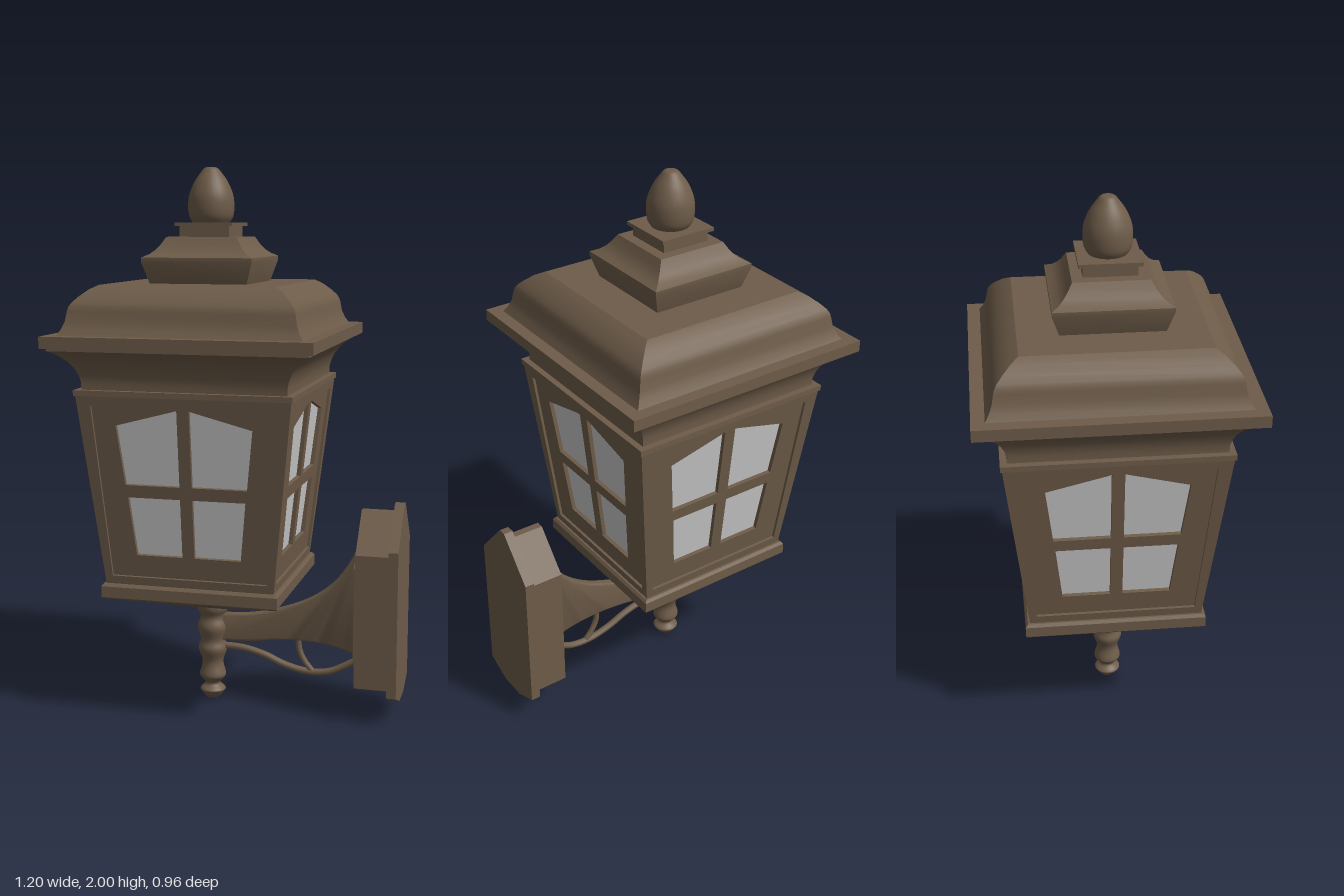
import * as THREE from 'three';
import { toCreasedNormals } from 'three/addons/utils/BufferGeometryUtils.js';

const bronze = new THREE.MeshStandardMaterial({ color: 0x6e5c49 });
bronze.name = 'bronze';
const frosted = new THREE.MeshStandardMaterial({ color: 0xc8c8c8 });
frosted.name = 'frostedGlass';

const mesh = (name, geometry, material = bronze) => {
  const m = new THREE.Mesh(geometry, material);
  m.name = name;
  return m;
};
const vec = ([x, y]) => new THREE.Vector2(x, y);
const shapeOf = (pts) => new THREE.Shape(pts.map(vec));
const extrude = (shape, depth) => new THREE.ExtrudeGeometry(shape, { depth, bevelEnabled: false });

// Square stack of [half width, height] rings, closed at both ends
function squareLathe(name, rings) {
  const pts = [[0, rings[0][1]], ...rings, [0, rings[rings.length - 1][1]]];
  const g = new THREE.LatheGeometry(pts.map(([h, y]) => new THREE.Vector2(h * Math.SQRT2, y)), 4, Math.PI / 4);
  return mesh(name, toCreasedNormals(g, 0.4));
}

// Round turning, smoothed through its [radius, height] points
function turning(name, pts) {
  const curve = new THREE.SplineCurve(pts.map(vec));
  const smooth = curve.getPoints(pts.length * 4).map((p) => new THREE.Vector2(Math.max(p.x, 0), p.y));
  return mesh(name, new THREE.LatheGeometry(smooth, 28));
}

function rod(name, pts, radius) {
  const curve = new THREE.CatmullRomCurve3(pts.map(([x, y]) => new THREE.Vector3(x, y, 0)));
  return mesh(name, new THREE.TubeGeometry(curve, 32, radius, 10));
}

// Glazed wall leaning outward between the pan and the cornice
const Y0 = 0.51, Y1 = 1.205, H0 = 0.31, H1 = 0.387;
const lean = Math.atan((H1 - H0) / (Y1 - Y0));
const v = (y) => (y - Y0) / Math.cos(lean);

function wall() {
  const side = new THREE.Group();
  side.name = 'lanternWall';
  const inner = [[-0.285, v(0.545)], [0.285, v(0.545)], [0.333, v(1.17)], [-0.333, v(1.17)]];

  const frame = shapeOf([[-H0, 0], [H0, 0], [H1, v(Y1)], [-H1, v(Y1)]]);
  frame.holes.push(new THREE.Path(inner.map(vec)));
  const border = mesh('wallFrame', extrude(frame, 0.02));
  border.position.z = -0.02;

  const sash = shapeOf(inner);
  for (const s of [-1, 1]) {
    const panes = [
      [[0.022, 0.885], [0.222, 0.885], [0.247, 1.1], [0.022, 1.16]],
      [[0.022, 0.625], [0.192, 0.625], [0.215, 0.84], [0.022, 0.84]],
    ];
    for (const pane of panes) sash.holes.push(new THREE.Path(pane.map(([x, y]) => vec([s * x, v(y)]))));
  }
  const grille = mesh('windowGrille', extrude(sash, 0.015));
  grille.position.z = -0.025;

  const glass = mesh('windowGlass', extrude(shapeOf([
    [-0.24, v(0.6)], [0.24, v(0.6)], [0.275, v(1.165)], [-0.275, v(1.165)],
  ]), 0.006), frosted);
  glass.position.z = -0.031;

  side.add(border, grille, glass);
  side.rotation.x = lean;
  side.position.set(0, Y0, H0);
  return side;
}

// Wall plate outline with a pointed top, extruded along +x
function houseplate(name, half, top, shoulder, low, bottom, x0, x1) {
  const g = extrude(shapeOf([
    [-half * 0.35, bottom], [half * 0.35, bottom], [half, low], [half, shoulder],
    [half * 0.1, top], [-half * 0.1, top], [-half, shoulder], [-half, low],
  ]), x1 - x0);
  g.rotateY(Math.PI / 2);
  g.translate(x0, 0, 0);
  return mesh(name, g);
}

export function createModel() {
  const model = new THREE.Group();
  model.name = 'wallLantern';

  const lantern = new THREE.Group();
  lantern.name = 'lantern';
  lantern.position.x = -0.123;
  model.add(lantern);

  // Bottom pan
  lantern.add(squareLathe('bottomPan', [[0.07, 0.375], [0.322, 0.46], [0.326, 0.465], [0.326, 0.505], [0.318, 0.515]]));

  // Four glazed walls
  for (let i = 0; i < 4; i++) {
    const turn = new THREE.Group();
    turn.name = 'wallSide';
    turn.rotation.y = (i * Math.PI) / 2;
    turn.add(wall());
    lantern.add(turn);
  }

  // Cornice and roof
  lantern.add(
    squareLathe('corniceLip', [[0.393, 1.205], [0.393, 1.225]]),
    squareLathe('corniceCove', [
      [0.37, 1.225], [0.37, 1.25], [0.376, 1.275], [0.387, 1.3], [0.403, 1.323],
      [0.423, 1.343], [0.447, 1.36], [0.462, 1.366], [0.462, 1.38],
    ]),
    squareLathe('roofRim', [[0.48, 1.375], [0.48, 1.417]]),
    squareLathe('roof', [
      [0.434, 1.417], [0.42, 1.44], [0.41, 1.465], [0.404, 1.5], [0.4, 1.515],
      [0.391, 1.53], [0.372, 1.55], [0.345, 1.573], [0.318, 1.588],
    ]),
    squareLathe('roofCap', [
      [0.178, 1.588], [0.202, 1.665], [0.202, 1.68], [0.178, 1.692], [0.16, 1.707], [0.146, 1.725], [0.13, 1.752],
    ]),
    squareLathe('finialNeck', [[0.092, 1.752], [0.092, 1.79]]),
    squareLathe('finialPlate', [[0.107, 1.79], [0.107, 1.803]]),
    turning('finial', [
      [0.068, 1.803], [0.08, 1.825], [0.084, 1.86], [0.08, 1.9], [0.062, 1.945], [0.038, 1.98], [0.022, 1.997], [0, 2],
    ]),
    // Turned post under the lantern
    turning('lowerPost', [
      [0, 0.003], [0.022, 0.004], [0.046, 0.032], [0.046, 0.042], [0.028, 0.062], [0.046, 0.085], [0.05, 0.1],
      [0.041, 0.135], [0.042, 0.16], [0.055, 0.2], [0.046, 0.235], [0.058, 0.285], [0.046, 0.325],
      [0.058, 0.355], [0.06, 0.38],
    ]),
  );

  // Flared arm
  const arm = new THREE.Shape();
  arm.moveTo(-0.09, 0.235);
  arm.splineThru([[0.02, 0.237], [0.12, 0.25], [0.22, 0.256], [0.34, 0.245], [0.44, 0.215]].map(vec));
  arm.lineTo(0.44, 0.645);
  arm.splineThru([[0.4, 0.565], [0.34, 0.485], [0.25, 0.42], [0.13, 0.372], [0.02, 0.347], [-0.09, 0.34]].map(vec));
  const armGeometry = new THREE.ExtrudeGeometry(arm, {
    depth: 0.016, bevelThickness: 0.01, bevelSize: 0.008, bevelOffset: -0.008, bevelSegments: 3, curveSegments: 5,
  });
  armGeometry.translate(0, 0, -0.008);
  model.add(mesh('arm', toCreasedNormals(armGeometry, 0.6)));

  // Scroll brace below the arm
  model.add(
    rod('scrollBrace', [
      [-0.1, 0.212], [0, 0.207], [0.08, 0.187], [0.16, 0.154], [0.25, 0.135], [0.33, 0.142], [0.39, 0.17], [0.45, 0.205],
    ], 0.013),
    rod('braceStrut', [[0.21, 0.262], [0.216, 0.215], [0.235, 0.175], [0.265, 0.138]], 0.011),
  );

  // Stepped wall mount
  model.add(
    houseplate('armPlate', 0.1, 0.66, 0.57, 0.22, 0.195, 0.435, 0.447),
    houseplate('mountBody', 0.14, 0.77, 0.63, 0.135, 0.1, 0.446, 0.57),
    houseplate('wallPlate', 0.152, 0.8, 0.65, 0.112, 0.07, 0.567, 0.602),
  );
  return model;
}
